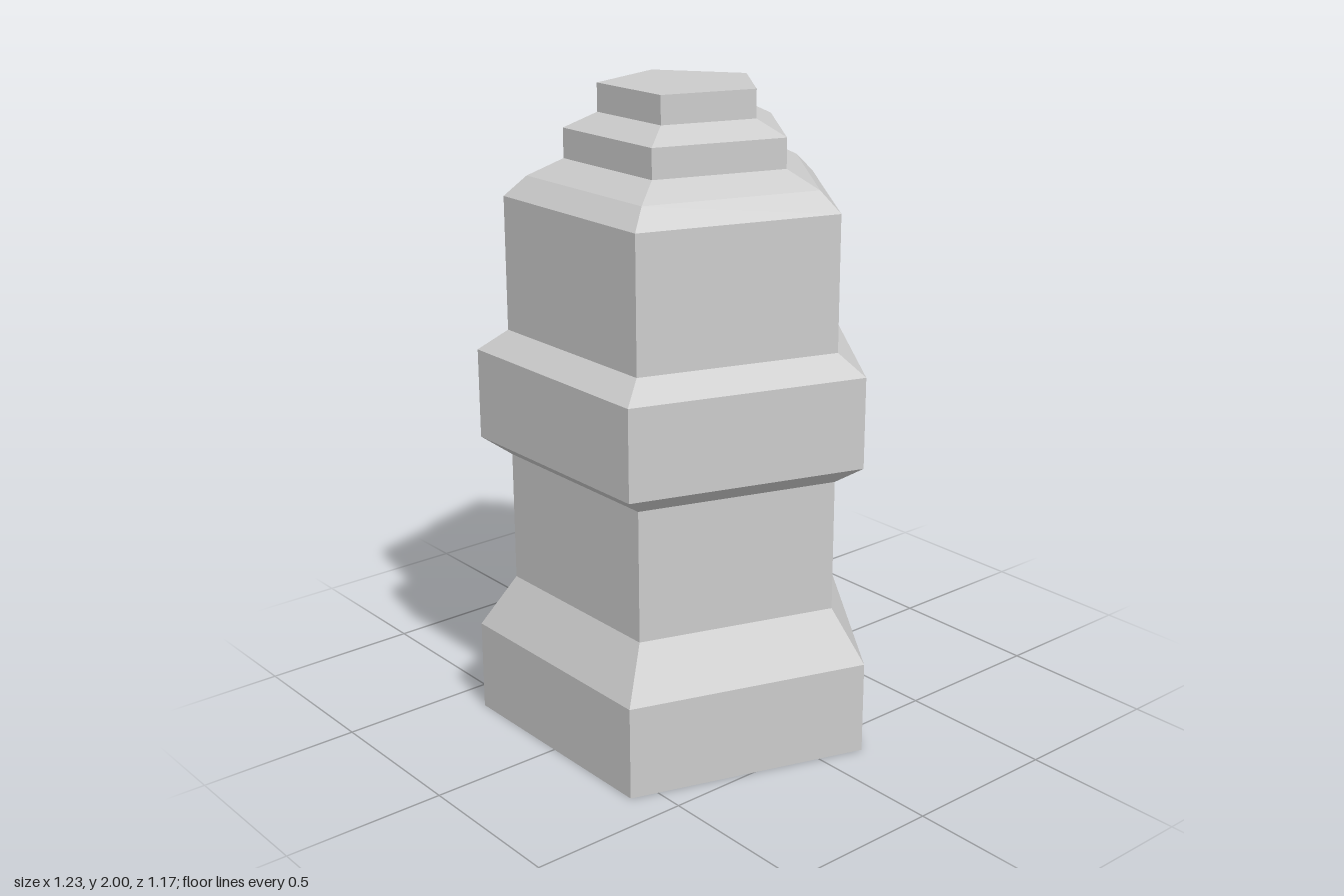
import * as THREE from 'three';

const SIDES = 5;
const CORNER = Math.sin((2 * Math.PI) / SIDES); // half-width of a unit pentagon

// Each part is a stacked profile of [half-width, height], bottom to top
const PARTS = {
  base: [[0, 0.05], [0.503, 0.05], [0.613, 0], [0.613, 0.29], [0.503, 0.45]],
  lowerShaft: [[0.503, 0.45], [0.503, 0.86]],
  collar: [[0.503, 0.86], [0.592, 0.92], [0.592, 1.2], [0.503, 1.26]],
  upperShaft: [[0.503, 1.26], [0.503, 1.67]],
  shoulder: [[0.503, 1.67], [0.437, 1.73], [0.333, 1.78]],
  upperStep: [[0.333, 1.78], [0.333, 1.87], [0.237, 1.915]],
  topCap: [[0.237, 1.915], [0.237, 2], [0, 2]],
};

export function createModel() {
  const group = new THREE.Group();
  group.name = 'pentagonalTower';
  const material = new THREE.MeshStandardMaterial({ color: 0xcccccc, flatShading: true });

  for (const [name, profile] of Object.entries(PARTS)) {
    const points = profile.map(([w, y]) => new THREE.Vector2(w / CORNER, y));
    // One corner points to the back, one flat side faces the front
    const geometry = new THREE.LatheGeometry(points, SIDES, Math.PI);
    const mesh = new THREE.Mesh(geometry, material);
    mesh.name = name;
    group.add(mesh);
  }

  // Centre the pentagon's depth on z = 0
  group.children.forEach((mesh) => { mesh.position.z = 0.06; });
  return group;
}
